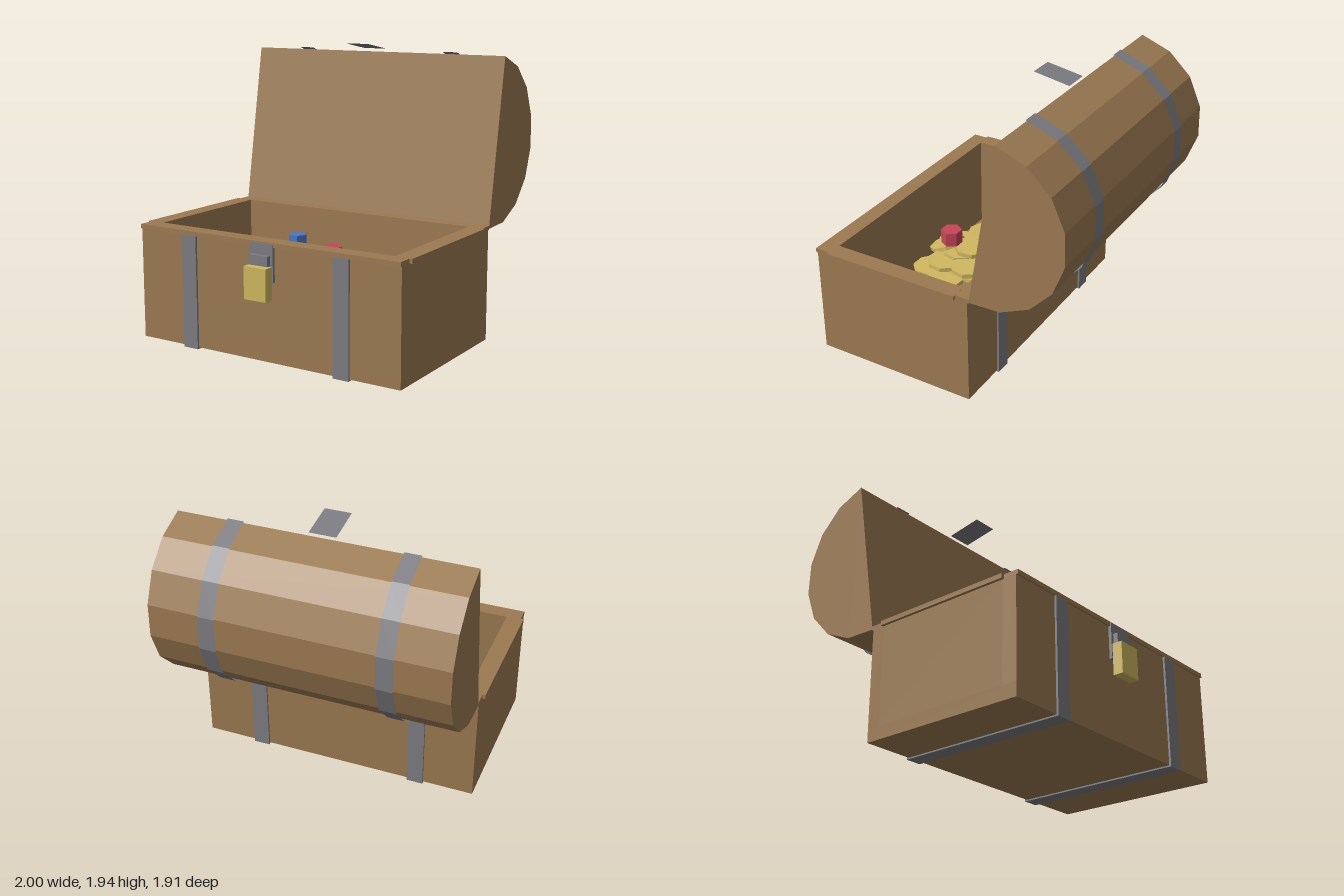
import * as THREE from 'three';

const paint = (name, color, extra = {}) => {
  const m = new THREE.MeshStandardMaterial({ color, flatShading: true, ...extra });
  m.name = name;
  return m;
};

export function createModel() {
  const wood = paint('wood', 0x9c7a52);
  const iron = paint('iron', 0x7c7c82, { side: THREE.DoubleSide });
  const gold = paint('gold', 0xd0b860);
  const blue = paint('blueGem', 0x4a78c8);
  const red = paint('redGem', 0xc8455a);

  const chest = new THREE.Group();
  chest.name = 'treasureChest';

  const add = (name, geometry, material) => {
    const mesh = new THREE.Mesh(geometry, material);
    mesh.name = name;
    chest.add(mesh);
    return mesh;
  };
  // Box given by its lower and upper limits on each axis
  const box = (name, mat, [x0, x1], [y0, y1], [z0, z1]) => {
    const m = add(name, new THREE.BoxGeometry(x1 - x0, y1 - y0, z1 - z0), mat);
    m.position.set((x0 + x1) / 2, (y0 + y1) / 2, (z0 + z1) / 2);
    return m;
  };

  // Hollow body: floor and four thick walls
  box('floor', wood, [-0.98, 0.98], [0.01, 0.1], [-0.28, 0.87]);
  box('frontWall', wood, [-0.98, 0.98], [0.1, 0.75], [0.77, 0.87]);
  box('backWall', wood, [-0.98, 0.98], [0.1, 0.75], [-0.28, -0.19]);
  for (const s of [-1, 1]) {
    const span = (a, b) => (s > 0 ? [a, b] : [-b, -a]);
    box('sideWall', wood, span(0.88, 0.98), [0.1, 0.75], [-0.19, 0.77]);
    box('sideRim', wood, span(0.88, 1), [0.75, 0.78], [-0.195, 0.78]);
  }
  box('frontRim', wood, [-0.98, 0.98], [0.75, 0.779], [0.77, 0.883]);
  box('backRim', wood, [-0.98, 0.98], [0.75, 0.779], [-0.293, -0.19]);

  // Open lid: half of a sixteen-sided barrel leaning back, as (z, y) points
  const centre = new THREE.Vector2(-0.385, 1.315);
  const lean = Math.atan2(0.19, 1.115);
  const arcPoint = (k, r) => {
    const a = lean + (k * Math.PI) / 8;
    return new THREE.Vector2(centre.x - r * Math.sin(a), centre.y + r * Math.cos(a));
  };
  const profile = [];
  for (let k = 0; k <= 8; k++) profile.push(arcPoint(k, 0.565));
  const lid = new THREE.ExtrudeGeometry(new THREE.Shape(profile), { depth: 1.96, bevelEnabled: false });
  lid.translate(0, 0, -0.98);
  lid.rotateY(-Math.PI / 2);
  add('lid', lid, wood);

  // Iron straps around the body and over the lid
  for (const cx of [-0.575, 0.575]) {
    const w = [cx - 0.056, cx + 0.056];
    box('frontStrap', iron, w, [0, 0.75], [0.865, 0.884]);
    box('backStrap', iron, w, [0, 0.75], [-0.294, -0.275]);
    box('bottomStrap', iron, w, [0, 0.015], [-0.28, 0.87]);

    const strip = new THREE.PlaneGeometry(0.112, 1, 1, 8);
    const pos = strip.attributes.position;
    for (let i = 0; i < pos.count; i++) {
      const p = arcPoint(Math.floor(i / 2), 0.578);
      pos.setXYZ(i, pos.getX(i) + cx, p.y, p.x);
    }
    strip.computeVertexNormals();
    add('lidStrap', strip, iron);
  }

  // Hasp on the lid, a thin plate square to the opening
  const hasp = add('lidHasp', new THREE.PlaneGeometry(0.18, 0.255), iron);
  hasp.rotation.x = -Math.PI / 2 - lean;
  hasp.position.set(0, 1.915, -0.355);

  // Lock plate, staple and padlock
  box('lockPlate', iron, [-0.09, 0.09], [0.53, 0.77], [0.868, 0.89]);
  box('staple', iron, [-0.07, 0.07], [0.635, 0.7], [0.885, 0.922]);
  box('padlock', gold, [-0.083, 0.083], [0.42, 0.63], [0.89, 0.957]);

  // Coin heap: x, height, z, tilt toward the front
  const coins = [
    [-0.34, 0.36, 0.4, 0], [0.24, 0.36, 0.49, 0.05], [-0.08, 0.38, 0.5, 0], [0.35, 0.37, 0.31, 0],
    [-0.34, 0.39, 0.23, 0.05], [0.19, 0.39, 0.13, 0], [-0.05, 0.42, 0.13, 0], [0.22, 0.43, 0.38, 0],
    [-0.06, 0.43, 0.4, 0], [0.22, 0.44, 0.19, 0], [-0.27, 0.43, 0.27, 0], [0.08, 0.45, 0.34, 0],
    [0.04, 0.45, 0.485, 0.4], [-0.12, 0.49, 0.24, -0.05], [0.07, 0.5, 0.25, 0],
  ];
  const coinGeometry = new THREE.CylinderGeometry(0.13, 0.13, 0.03, 8);
  coins.forEach(([x, y, z, tilt], i) => {
    const coin = add('coin', coinGeometry, gold);
    coin.position.set(x, y, z);
    coin.rotation.set(tilt, i * 0.37, 0);
  });

  // Six-sided gems
  for (const [name, mat, x, y, z, r, h] of [
    ['blueGem', blue, -0.215, 0.63, 0.175, 0.064, 0.08],
    ['redGem', red, 0.177, 0.62, 0.355, 0.073, 0.1],
  ]) {
    const gem = add(name, new THREE.CylinderGeometry(r, r, h, 6), mat);
    gem.position.set(x, y, z);
    gem.rotation.y = Math.PI / 6;
  }

  return chest;
}
